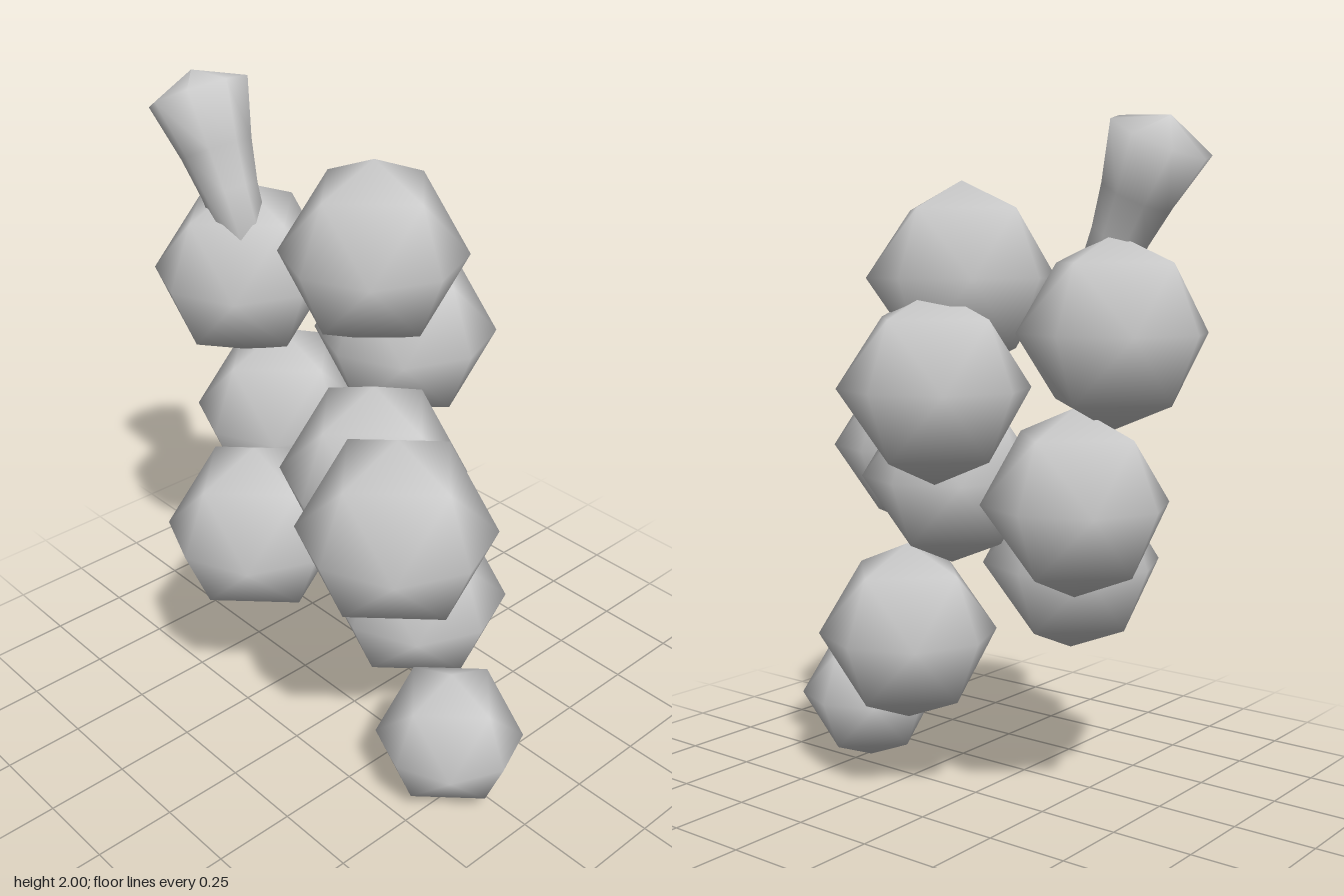
import * as THREE from 'three';

const material = new THREE.MeshStandardMaterial({ color: 0xcccccc });

// Berries: x, y, z of the centre and radius
const BERRIES = [
  [-0.024, 1.56, -0.094, 0.272],
  [-0.452, 1.412, 0.034, 0.27],
  [-0.058, 1.26, -0.258, 0.272],
  [0.443, 1.016, 0.254, 0.272],
  [0.124, 0.968, 0.04, 0.272],
  [-0.388, 0.943, -0.046, 0.267],
  [-0.188, 0.711, 0.23, 0.27],
  [0.185, 0.498, -0.095, 0.27],
  [0.485, 0.22, 0.06, 0.22],
];

// Once-subdivided octahedron with smooth normals
function createBerry([x, y, z, radius], index) {
  const berry = new THREE.Mesh(new THREE.OctahedronGeometry(radius, 1), material);
  berry.position.set(x, y, z);
  berry.name = `berry${index + 1}`;
  return berry;
}

// Eight-sided stalk flaring to a shallow pointed cap; its origin is the rim centre
function createStem() {
  const profile = [
    [0, -0.46], [0.07, -0.46], [0.085, -0.29], [0.107, -0.168], [0.15, 0], [0, 0.063],
  ].map(([r, y]) => new THREE.Vector2(r, y));
  const stem = new THREE.Mesh(new THREE.LatheGeometry(profile, 8), material);
  stem.position.set(-0.565, 1.935, 0.087);
  stem.rotation.z = THREE.MathUtils.degToRad(26);
  stem.name = 'stem';
  return stem;
}

export function createModel() {
  const model = new THREE.Group();
  model.name = 'grapeBunch';

  const berries = new THREE.Group();
  berries.name = 'berries';
  berries.add(...BERRIES.map(createBerry));

  model.add(berries, createStem());
  return model;
}
